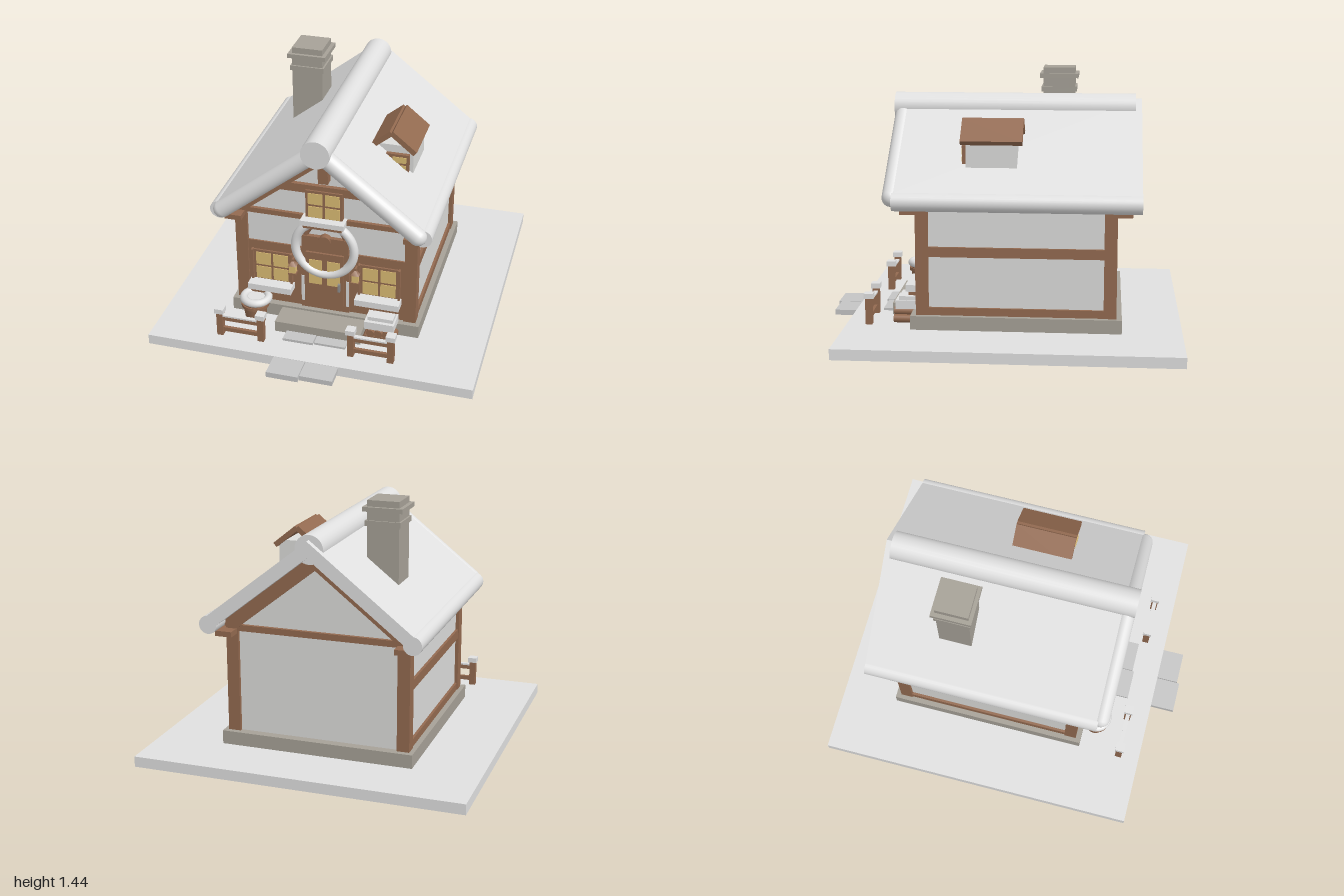
import * as THREE from 'three';

const mat = (name, color) => Object.assign(new THREE.MeshStandardMaterial({ color }), { name });

export function createModel() {
  const snow = mat('snow', 0xe0e0e0), plaster = mat('plaster', 0xdcdcda);
  const wood = mat('wood', 0x936a50), stone = mat('stone', 0xa6a197);
  const glow = mat('window glow', 0xdcbc74), paving = mat('paving', 0xc4c4c4), metal = mat('metal', 0x8c8c8c);
  const model = new THREE.Group();
  model.name = 'snowyCottage';

  const add = (name, geo, m, x = 0, y = 0, z = 0, parent = model) => {
    const mesh = new THREE.Mesh(geo, m);
    mesh.name = name;
    mesh.position.set(x, y, z);
    parent.add(mesh);
    return mesh;
  };
  // Box given by its limits on each axis
  const box = (name, m, x0, x1, y0, y1, z0, z1, parent = model) =>
    add(name, new THREE.BoxGeometry(x1 - x0, y1 - y0, z1 - z0), m, (x0 + x1) / 2, (y0 + y1) / 2, (z0 + z1) / 2, parent);
  // Box laid along a sloping line in the xy plane
  const slope = (name, m, ax, ay, bx, by, thick, z0, z1) => {
    const b = add(name, new THREE.BoxGeometry(Math.hypot(bx - ax, by - ay), thick, z1 - z0), m,
      (ax + bx) / 2, (ay + by) / 2, (z0 + z1) / 2);
    b.rotation.z = Math.atan2(by - ay, bx - ax);
    return b;
  };
  // Outline in xy extruded from z0 to z1
  const extrude = (name, m, pts, z0, z1) =>
    add(name, new THREE.ExtrudeGeometry(new THREE.Shape(pts.map(p => new THREE.Vector2(...p))),
      { depth: z1 - z0, bevelEnabled: false }), m, 0, 0, z0);
  const rollZ = (name, m, x, y, r, z0, z1, parent = model) => {
    const c = add(name, new THREE.CylinderGeometry(r, r, z1 - z0, 28), m, x, y, (z0 + z1) / 2, parent);
    c.rotation.x = Math.PI / 2;
    return c;
  };

  // Ground, foundation, step and paving
  box('ground', snow, -0.93, 0.93, 0, 0.06, -1, 0.86);
  box('foundation', stone, -0.55, 0.55, 0.06, 0.137, -0.67, 0.49);
  box('frontStep', stone, -0.25, 0.25, 0.06, 0.125, 0.48, 0.635);
  box('pavingSlab', paving, -0.18, -0.005, 0.05, 0.075, 0.6, 0.71);
  box('pavingSlab', paving, 0, 0.18, 0.05, 0.073, 0.59, 0.7);
  box('pavingSlab', paving, -0.185, -0.005, 0.025, 0.058, 0.86, 1);
  box('pavingSlab', paving, 0, 0.185, 0.028, 0.058, 0.855, 0.985);

  // House body with gables
  extrude('walls', plaster, [[-0.505, 0.13], [0.505, 0.13], [0.505, 0.78], [0, 1.18], [-0.505, 0.78]], -0.62, 0.44);

  // Timber frame, mirrored left and right
  for (const s of [-1, 1]) {
    const side = (name, m, a, b, ...rest) => box(name, m, Math.min(s * a, s * b), Math.max(s * a, s * b), ...rest);
    for (const [z0, z1] of [[0.39, 0.46], [-0.64, -0.57]]) side('cornerPost', wood, 0.455, 0.525, 0.135, 0.76, z0, z1);
    side('eaveBracket', wood, 0.46, 0.555, 0.705, 0.735, 0.39, 0.54);
    side('eaveBracket', wood, 0.46, 0.555, 0.705, 0.735, -0.72, -0.57);
    side('sideSill', wood, 0.49, 0.52, 0.137, 0.18, -0.6, 0.42);
    side('sideRail', wood, 0.49, 0.52, 0.465, 0.52, -0.6, 0.42);
    slope('frontRafter', wood, 0, 1.15, s * 0.52, 0.74, 0.08, 0.42, 0.475);
    slope('backRafter', wood, 0, 1.15, s * 0.52, 0.74, 0.08, -0.65, -0.6);
  }
  box('frontTieBeam', wood, -0.5, 0.5, 0.72, 0.75, 0.43, 0.46);
  box('backTieBeam', wood, -0.5, 0.5, 0.72, 0.755, -0.64, -0.61);
  box('collarBeam', wood, -0.32, 0.32, 0.897, 0.947, 0.43, 0.465);
  box('kingPost', wood, -0.028, 0.028, 0.98, 1.15, 0.43, 0.49);
  box('ridgeBeamEnd', wood, -0.045, 0.045, 1.1, 1.17, 0.43, 0.52);
  box('woodCladding', wood, -0.46, 0.46, 0.137, 0.53, 0.42, 0.45);

  // Snow-covered roof with rolled edges
  extrude('roof', snow, [[0, 1.285], [-0.585, 0.825], [-0.545, 0.765], [0, 1.195], [0.545, 0.765], [0.585, 0.825]], -0.77, 0.575);
  rollZ('ridgeSnow', snow, 0, 1.232, 0.08, -0.735, 0.635);
  for (const s of [-1, 1]) {
    rollZ('eaveSnow', snow, s * 0.573, 0.78, 0.051, -0.77, 0.575);
    const roll = add('gableSnow', new THREE.CapsuleGeometry(0.049, 0.69, 8, 24), snow, s * 0.278, 1.01, 0.585);
    roll.rotation.z = Math.atan2(s * 0.57, 0.45);
  }

  // Chimney
  box('chimney', stone, -0.38, -0.2, 0.88, 1.44, -0.385, -0.2);
  box('chimneyBand', stone, -0.39, -0.19, 1.3, 1.33, -0.395, -0.19);
  box('chimneyBand', stone, -0.403, -0.178, 1.38, 1.405, -0.405, -0.18);

  // Window with four panes
  const makeWindow = (name, cx, y0, y1, hw, z) => {
    const g = new THREE.Group();
    g.name = name;
    model.add(g);
    box('windowFrame', wood, cx - hw - 0.015, cx + hw + 0.015, y0 - 0.015, y1 + 0.015, z - 0.03, z, g);
    const my = (y0 + y1) / 2, gap = 0.007;
    for (const [a, b] of [[cx - hw, cx - gap], [cx + gap, cx + hw]])
      for (const [c, d] of [[y0, my - gap], [my + gap, y1]]) box('pane', glow, a, b, c, d, z - 0.003, z + 0.004, g);
  };
  for (const s of [-1, 1]) {
    const x = s * 0.313;
    makeWindow('lowerWindow', x, 0.288, 0.46, 0.095, 0.46);
    for (const t of [-1, 1]) box('windowTrim', wood, x + t * 0.115 - 0.006, x + t * 0.115 + 0.006, 0.28, 0.48, 0.44, 0.475);
    box('sillSnow', snow, x - 0.128, x + 0.128, 0.245, 0.283, 0.44, 0.53);
    box('sill', wood, x - 0.115, x + 0.115, 0.222, 0.245, 0.44, 0.515);
  }
  makeWindow('upperWindow', 0, 0.755, 0.905, 0.09, 0.475);
  box('upperSillSnow', snow, -0.125, 0.125, 0.722, 0.752, 0.44, 0.525);
  box('upperSill', wood, -0.11, 0.11, 0.702, 0.722, 0.44, 0.515);

  // Dormer on the left slope
  box('dormerBody', plaster, 0.19, 0.43, 0.935, 1.11, -0.09, 0.19);
  slope('dormerRoof', wood, 0.31, 1.193, 0.445, 1.083, 0.03, -0.12, 0.22);
  slope('dormerRoof', wood, 0.31, 1.193, 0.175, 1.083, 0.03, -0.12, 0.22);
  makeWindow('dormerWindow', 0.31, 0.965, 1.05, 0.085, 0.213);

  // Door with arched head
  box('doorFrame', wood, -0.14, 0.14, 0.137, 0.53, 0.44, 0.462);
  box('door', wood, -0.11, 0.11, 0.18, 0.52, 0.45, 0.475);
  box('doorLintel', wood, -0.135, 0.135, 0.53, 0.62, 0.43, 0.465);
  for (const s of [-1, 1]) box('doorSideStrip', plaster, s * 0.131 - 0.009, s * 0.131 + 0.009, 0.18, 0.35, 0.458, 0.466);
  for (const [a, b] of [[-0.09, -0.015], [0.015, 0.09]])
    for (const [c, d] of [[0.315, 0.39], [0.4, 0.475]]) box('doorPane', glow, a, b, c, d, 0.472, 0.479);
  box('doorHandle', metal, 0.08, 0.093, 0.29, 0.34, 0.47, 0.495);
  add('doorArch', new THREE.TorusGeometry(0.12, 0.016, 8, 24, Math.PI), wood, 0, 0.585, 0.445);
  rollZ('archBoss', wood, 0, 0.6, 0.035, 0.44, 0.478);
  add('snowWreath', new THREE.TorusGeometry(0.17, 0.025, 16, 48), snow, 0, 0.555, 0.47);

  // Lanterns beside the door
  for (const s of [-1, 1]) {
    const x = s * 0.182;
    box('lanternGlass', glow, x - 0.018, x + 0.018, 0.378, 0.425, 0.465, 0.501);
    box('lanternBase', wood, x - 0.023, x + 0.023, 0.368, 0.378, 0.46, 0.506);
    const cap = add('lanternCap', new THREE.ConeGeometry(0.034, 0.03, 4), wood, x, 0.44, 0.483);
    cap.rotation.y = Math.PI / 4;
    box('lanternArm', wood, x - 0.005, x + 0.005, 0.45, 0.462, 0.44, 0.488);
  }

  // Fences
  for (const [x0, x1] of [[-0.537, -0.297], [0.223, 0.45]]) {
    for (const x of [x0, x1]) {
      box('fencePost', wood, x - 0.018, x + 0.018, 0.06, 0.21, 0.715, 0.753);
      box('postSnow', snow, x - 0.026, x + 0.026, 0.208, 0.238, 0.708, 0.76);
    }
    for (const y of [0.085, 0.158]) box('fenceRail', wood, x0, x1, y, y + 0.025, 0.725, 0.743);
    box('railSnow', snow, x0 + 0.018, x1 - 0.018, 0.183, 0.193, 0.722, 0.746);
  }

  // Tub heaped with snow
  add('tub', new THREE.CylinderGeometry(0.074, 0.056, 0.14, 24), wood, -0.39, 0.13, 0.555);
  add('tubRim', new THREE.CylinderGeometry(0.08, 0.08, 0.018, 24), wood, -0.39, 0.175, 0.555);
  add('tubSnowRing', new THREE.TorusGeometry(0.07, 0.023, 12, 32), snow, -0.385, 0.213, 0.55).rotation.x = Math.PI / 2;
  add('tubSnow', new THREE.CylinderGeometry(0.07, 0.07, 0.025, 24), snow, -0.385, 0.205, 0.55);

  // Log pile under snow
  for (let row = 0; row < 2; row++)
    for (let i = 0; i < 4 - row; i++)
      rollZ('log', wood, 0.275 + 0.046 * i + 0.023 * row, 0.083 + 0.038 * row, 0.023, 0.47, 0.6);
  box('logSnow', snow, 0.26, 0.43, 0.142, 0.19, 0.47, 0.59);
  box('logSnowTop', snow, 0.275, 0.42, 0.19, 0.213, 0.48, 0.57);

  return model;
}
